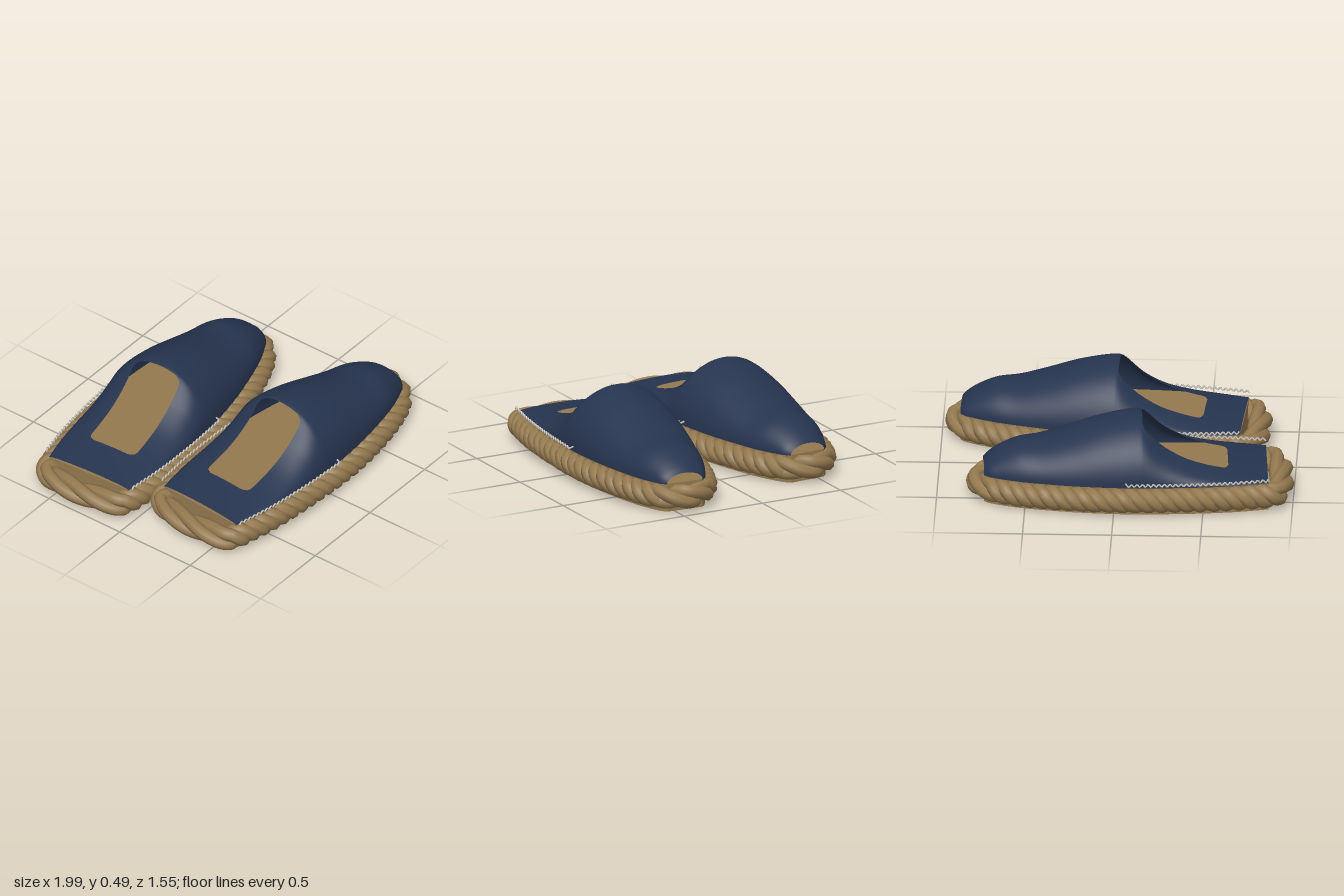
import * as THREE from 'three';

const V = (x, y, z) => new THREE.Vector3(x, y, z);
const BASE = 0.16; // top of the sole

const navy = new THREE.MeshStandardMaterial({ color: 0x26344f, side: THREE.DoubleSide });
navy.name = 'navy canvas';
const jute = new THREE.MeshStandardMaterial({ color: 0x94794f });
jute.name = 'jute';
const thread = new THREE.MeshStandardMaterial({ color: 0xcfcabf });
thread.name = 'pale thread';

// Upper profile from heel to toe: position, half width, height above the sole
const profile = new THREE.CatmullRomCurve3([
  [-0.7, 0.27, 0.02], [-0.59, 0.292, 0.035], [-0.48, 0.308, 0.052], [-0.36, 0.318, 0.08],
  [-0.24, 0.323, 0.125], [-0.12, 0.325, 0.205], [0, 0.324, 0.322], [0.04, 0.323, 0.326],
  [0.12, 0.319, 0.315], [0.25, 0.305, 0.285], [0.4, 0.282, 0.235], [0.57, 0.245, 0.185],
  [0.7, 0.21, 0.167], [0.8, 0.17, 0.125], [0.86, 0.14, 0.085], [0.89, 0.11, 0.055],
].map((p) => V(...p)));
const SUB = 8;
const ROWS = (profile.points.length - 1) * SUB;
const rows = Array.from({ length: ROWS + 1 }, (_, i) => profile.getPoint(i / ROWS));
const WIN_START = 2 * SUB, WIN_END = 6 * SUB; // rows where the foot opening begins and ends

// Half width of the rounded foot opening at a row
function openingHalf(i) {
  const r = 0.04, u = rows[i].x;
  const d = Math.min(u - rows[WIN_START].x, rows[WIN_END].x - u);
  if (d <= 0) return Math.min(0.115, rows[i].y * 0.5);
  return 0.115 + (d < r ? Math.sqrt(r * r - (r - d) ** 2) : r);
}

// Domed upper: half-ellipse sections, with the middle band left out at the opening
function upperGeometry() {
  const SIDE = 12, MID = 10, n = 2 * SIDE + MID + 1;
  const pos = [], index = [];
  rows.forEach(({ x, y: w, z: h }, i) => {
    const t = Math.acos(openingHalf(i) / w);
    for (let j = 0; j < n; j++) {
      let a;
      if (j <= SIDE) a = (t * j) / SIDE;
      else if (j <= SIDE + MID) a = t + ((Math.PI - 2 * t) * (j - SIDE)) / MID;
      else a = Math.PI - (t * (n - 1 - j)) / SIDE;
      pos.push(x, BASE + h * Math.sin(a), w * Math.cos(a));
    }
  });
  for (let i = 0; i < ROWS; i++) {
    for (let j = 0; j < n - 1; j++) {
      const open = i >= WIN_START && i < WIN_END && j >= SIDE && j < SIDE + MID;
      if (open) continue;
      const a = i * n + j, b = a + n;
      index.push(a, b, a + 1, b, b + 1, a + 1);
    }
  }
  const g = new THREE.BufferGeometry();
  g.setAttribute('position', new THREE.Float32BufferAttribute(pos, 3));
  g.setIndex(index);
  g.computeVertexNormals();
  return g;
}

// Flat sole following the foot of the upper
function soleGeometry() {
  const side = rows.filter((_, i) => i % 4 === 0).map((p) => [p.x, p.y - 0.004]);
  const outline = [...side, ...side.slice().reverse().map(([x, z]) => [x, -z])];
  const shape = new THREE.Shape(outline.map(([x, z]) => new THREE.Vector2(x, z)));
  const g = new THREE.ExtrudeGeometry(shape, { depth: BASE + 0.003, bevelEnabled: false });
  return g.rotateX(Math.PI / 2).translate(0, BASE + 0.003, 0);
}

// Three strands twisted round the sole, with a looser twist at heel and toe
function ropeGeometries() {
  const half = [
    [-0.775, 0.14], [-0.735, 0.25], [-0.6, 0.287], [-0.4, 0.312], [-0.1, 0.322], [0.1, 0.32],
    [0.3, 0.303], [0.5, 0.265], [0.65, 0.225], [0.78, 0.175], [0.87, 0.11],
  ];
  const loop = [...half, [0.925, 0], ...half.slice().reverse().map(([x, z]) => [x, -z])];
  const path = new THREE.CatmullRomCurve3(loop.map(([x, z]) => V(x, 0.086, z)), true);
  const N = 420, phase = [0];
  for (let i = 0; i < N; i++) {
    const { x } = path.getPointAt(i / N);
    phase.push(phase[i] + (x < -0.73 ? 0.3 : x > 0.84 ? 0.45 : 1));
  }
  const turns = Math.round((phase[N] / N) * path.getLength() / 0.215);
  const up = V(0, 1, 0);
  return [0, 1, 2].map((s) => {
    const points = [];
    for (let i = 0; i < N; i++) {
      const a = -2 * Math.PI * (turns * phase[i] / phase[N] + s / 3);
      const out = path.getTangentAt(i / N).cross(up).normalize();
      points.push(path.getPointAt(i / N)
        .addScaledVector(out, 0.034 * Math.cos(a))
        .addScaledVector(up, 0.034 * Math.sin(a)));
    }
    const strand = new THREE.CatmullRomCurve3(points, true);
    strand.arcLengthDivisions = 1200;
    return new THREE.TubeGeometry(strand, 520, 0.038, 8, true);
  });
}

// Zigzag seam running beside the heel half of the upper
function stitchGeometry() {
  const base = new THREE.CatmullRomCurve3([
    V(-0.7, 0, 0.295), V(-0.45, 0, 0.33), V(-0.15, 0, 0.348), V(0.1, 0, 0.348),
  ]);
  const points = [];
  for (let i = 0; i <= 52; i++) {
    const p = base.getPointAt(i / 52);
    points.push(p.setY(0.186 + (i % 2 ? 0.009 : -0.009)));
  }
  points.push(V(0.1, 0.186, 0.318)); // short end tucked into the canvas
  const zigzag = new THREE.CatmullRomCurve3(points, false, 'catmullrom', 0);
  zigzag.arcLengthDivisions = 600;
  return new THREE.TubeGeometry(zigzag, 212, 0.005, 5, false);
}

export function createModel() {
  const model = new THREE.Group();
  model.name = 'pairOfSlippers';
  const upper = upperGeometry(), sole = soleGeometry();
  const strands = ropeGeometries(), stitch = stitchGeometry();

  const add = (parent, geometry, material, name) => {
    const mesh = new THREE.Mesh(geometry, material);
    mesh.name = name;
    parent.add(mesh);
    return mesh;
  };

  // The two shoes splay slightly, one set a little behind the other
  for (const [name, x, side] of [['nearShoe', 0, 1], ['farShoe', -0.15, -1]]) {
    const shoe = new THREE.Group();
    shoe.name = name;
    add(shoe, upper, navy, 'upper');
    add(shoe, sole, jute, 'sole');
    strands.forEach((g, i) => add(shoe, g, jute, `ropeStrand${i + 1}`));
    add(shoe, stitch, thread, 'stitchLeft');
    add(shoe, stitch.clone().rotateX(Math.PI).translate(0, 0.372, 0), thread, 'stitchRight');
    shoe.position.set(x, 0, side * 0.38);
    shoe.rotation.y = -side * THREE.MathUtils.degToRad(3.5);
    model.add(shoe);
  }
  return model;
}
